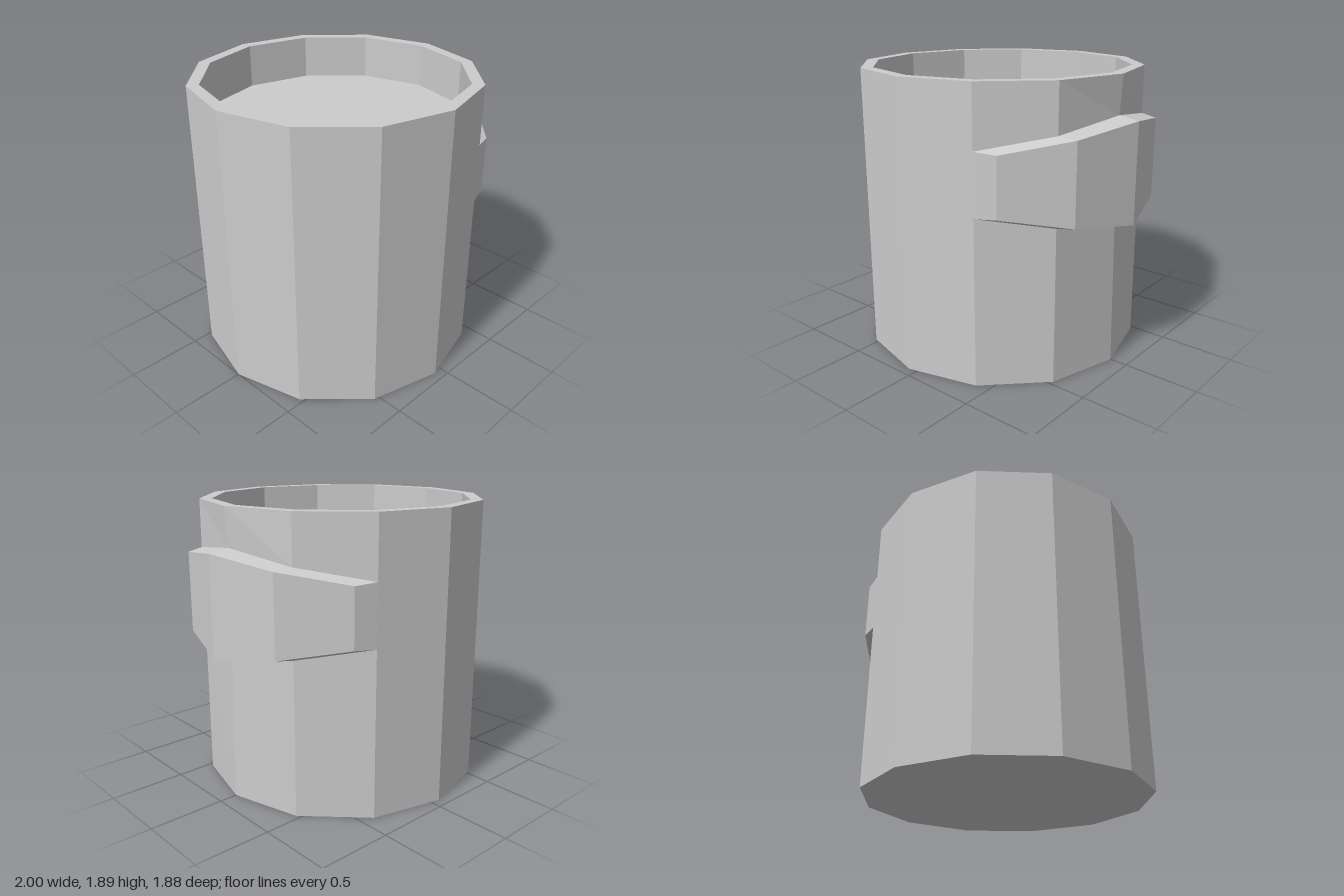
import * as THREE from 'three';

const CX = -0.06, R = 0.94, R_IN = 0.86, H = 1.89, FLOOR = 1.6, SIDES = 12;
const material = new THREE.MeshStandardMaterial({ color: 0xcccccc, flatShading: true });

// Flat-shaded skin over rows of points; rows run bottom to top on an outward face
function loft(name, rows) {
  const pos = [];
  const tri = (a, b, c) => {
    const n = b.clone().sub(a).cross(c.clone().sub(a));
    if (n.length() > 1e-7) for (const p of [a, b, c]) pos.push(p.x, p.y, p.z);
  };
  for (let r = 0; r < rows.length - 1; r++) {
    for (let i = 0; i < rows[r].length - 1; i++) {
      const a = rows[r][i], b = rows[r + 1][i], c = rows[r + 1][i + 1], d = rows[r][i + 1];
      tri(a, b, c);
      tri(a, c, d);
    }
  }
  const geometry = new THREE.BufferGeometry();
  geometry.setAttribute('position', new THREE.Float32BufferAttribute(pos, 3));
  geometry.computeVertexNormals();
  const mesh = new THREE.Mesh(geometry, material);
  mesh.name = name;
  return mesh;
}

// Closed twelve-sided ring; the height may vary with the side index
function ring(radius, height, pinch = 0) {
  return Array.from({ length: SIDES + 1 }, (_, k) => {
    const i = k % SIDES, a = (i / SIDES) * Math.PI * 2;
    const r = i === 0 ? radius - pinch : radius;
    const y = typeof height === 'function' ? height(Math.min(i, SIDES - i)) : height;
    return new THREE.Vector3(CX + r * Math.cos(a), y, r * Math.sin(a));
  });
}

// Heights where the band meets the wall, from the middle out to its end
const LOW = [0.95, 1.02, 1.095], HIGH = [1.64, 1.575, 1.495];
const lowAt = i => LOW[Math.min(i, 2)];
const highAt = i => HIGH[Math.min(i, 2)];

export function createModel() {
  const group = new THREE.Group();
  group.name = 'cup';

  // Cup body
  group.add(loft('base', [ring(0, 0), ring(R, 0)]));
  group.add(loft('wall', [ring(R, 0), ring(R, lowAt, 0.015), ring(R, highAt, 0.015), ring(R, H)]));
  group.add(loft('rim', [ring(R, H), ring(R_IN, H)]));
  group.add(loft('inside', [ring(R_IN, H), ring(R_IN, FLOOR), ring(0, FLOOR)]));

  // Raised band: per column [wall x, wall z, face x, face z, wall low, face low, face high, wall high]
  const half = [
    [0.865, 0, 1, 0, 0.95, 0.97, 1.62, 1.64],
    [0.755, 0.47, 0.87, 0.445, 1.02, 1.035, 1.56, 1.575],
    [0.41, 0.814, 0.55, 0.77, 1.095, 1.105, 1.485, 1.495],
    [0.41, 0.814, 0.41, 0.814, 1.095, 1.095, 1.495, 1.495],
  ];
  const mirrored = half.slice(1).reverse().map(c => c.map((v, i) => (i === 1 || i === 3 ? -v : v)));
  const columns = [...mirrored, ...half];
  const row = (x, z, y) => columns.map(c => new THREE.Vector3(c[x], c[y], c[z]));
  group.add(loft('raisedBand', [row(0, 1, 4), row(2, 3, 5), row(2, 3, 6), row(0, 1, 7)]));

  return group;
}
